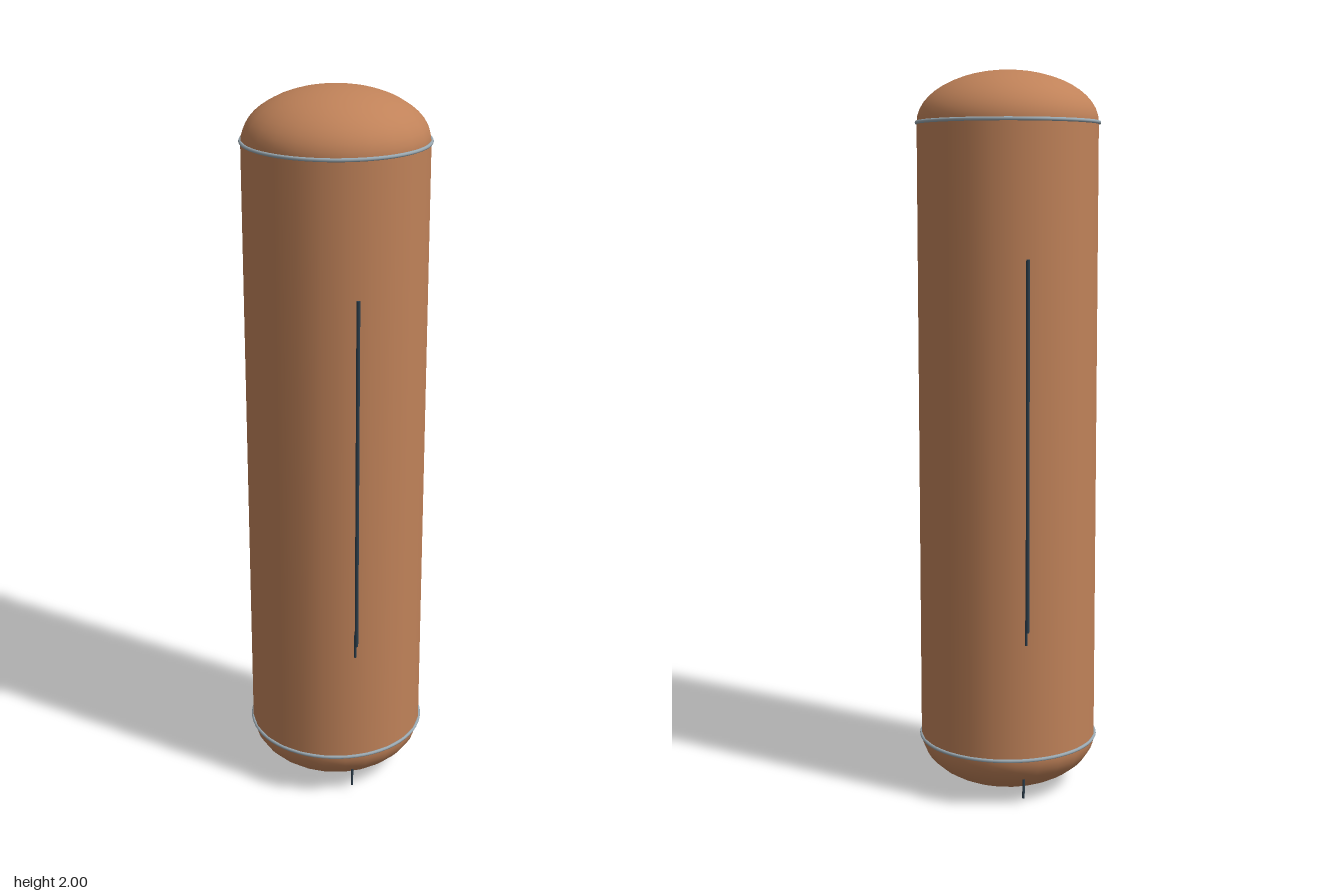
import * as THREE from 'three';

const R = 0.248, LOW = 0.14, HIGH = 1.86;

export function createModel() {
  const copper = new THREE.MeshStandardMaterial({ color: 0xc08259 });
  copper.name = 'copper';
  const steel = new THREE.MeshStandardMaterial({ color: 0x9aa9b2 });
  steel.name = 'steel';
  const slate = new THREE.MeshStandardMaterial({ color: 0x2c3e4c });
  slate.name = 'slate';

  const model = new THREE.Group();
  model.name = 'capsuleTank';
  const add = (name, geometry, material, x, y, z, parent = model) => {
    const mesh = new THREE.Mesh(geometry, material);
    mesh.name = name;
    mesh.position.set(x, y, z);
    parent.add(mesh);
    return mesh;
  };

  // Straight shell
  add('body', new THREE.CylinderGeometry(R, R, HIGH - LOW, 24, 1, true), copper, 0, 1, 0);

  // Flattened domes and the seam ring where each meets the shell
  const dome = new THREE.SphereGeometry(R, 24, 12, 0, Math.PI * 2, 0, Math.PI / 2);
  dome.scale(1, LOW / R, 1);
  const ring = new THREE.TorusGeometry(R, 0.005, 8, 64);
  ring.rotateX(Math.PI / 2);
  add('topDome', dome, copper, 0, HIGH, 0);
  add('bottomDome', dome, copper, 0, LOW, 0).rotation.x = Math.PI;
  add('topRing', ring, steel, 0, HIGH, 0);
  add('bottomRing', ring, steel, 0, LOW, 0);

  // Side rod, its end pin and a bottom pin, repeated on the opposite side
  const rod = new THREE.CylinderGeometry(0.005, 0.005, 1, 8);
  const pin = new THREE.CylinderGeometry(0.0035, 0.0035, 0.07, 8);
  ['front', 'back'].forEach((side, i) => {
    const fittings = new THREE.Group();
    fittings.name = side + 'Fittings';
    fittings.rotation.y = i * Math.PI;
    add(side + 'Rod', rod, slate, 0.093, 1, 0.231, fittings);
    add(side + 'RodPin', pin, slate, 0.09, 0.5, 0.231, fittings);
    add(side + 'BottomPin', pin, slate, 0.078, 0.055, 0.2, fittings);
    model.add(fittings);
  });

  return model;
}
